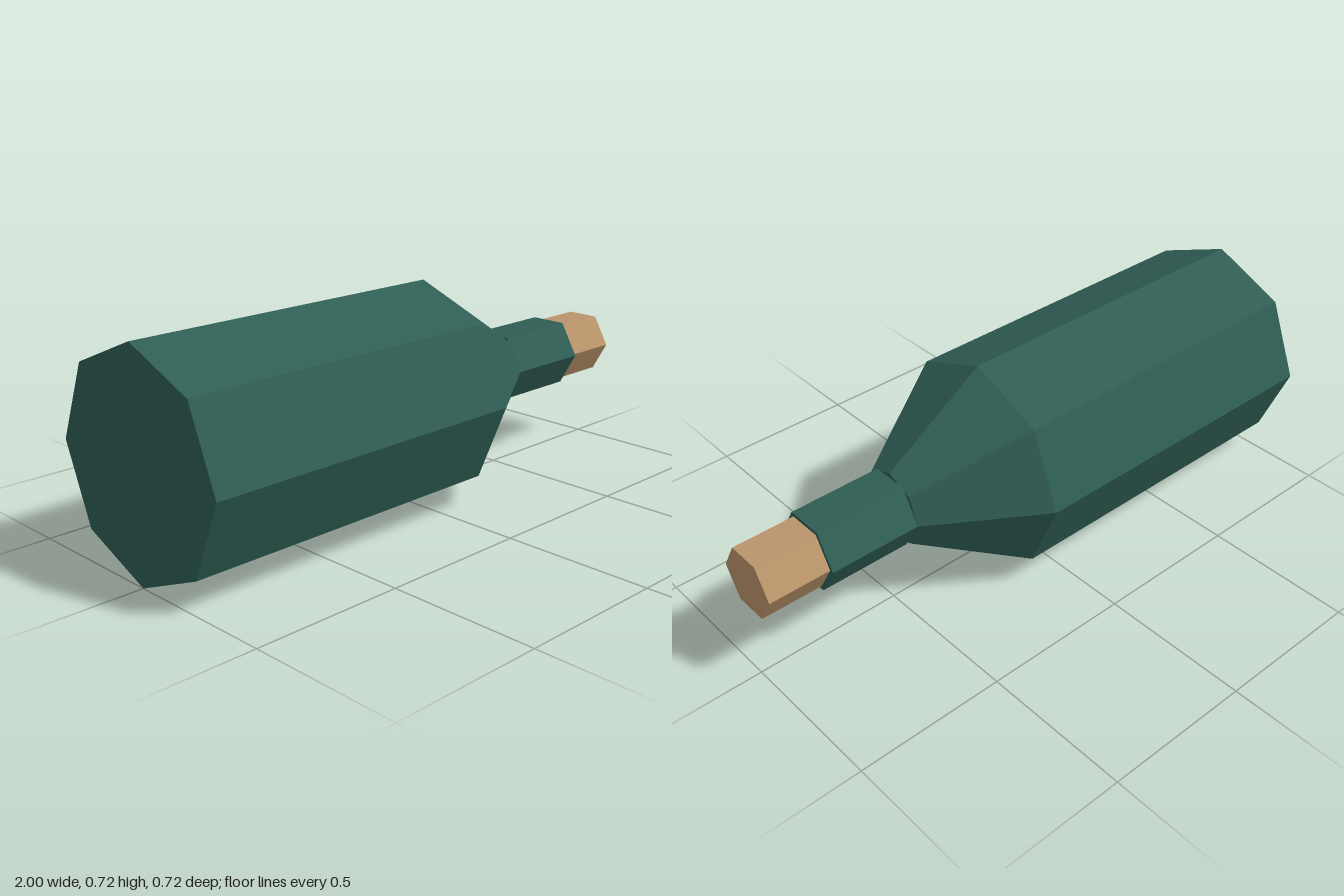
import * as THREE from 'three';

export function createModel() {
  const group = new THREE.Group();
  group.name = 'bottle';
  const glass = new THREE.MeshStandardMaterial({ color: 0x2f5d54, flatShading: true });
  glass.name = 'green glass';
  const corkTan = new THREE.MeshStandardMaterial({ color: 0xba946b, flatShading: true });
  corkTan.name = 'cork tan';

  const axisY = 0.359; // height of the bottle's axis, lying along x

  // Faceted section along x, from x0 (radius r0) to x1 (radius r1)
  function section(name, x0, x1, r0, r1, sides, material) {
    const geometry = new THREE.CylinderGeometry(r1, r0, x1 - x0, sides);
    geometry.rotateZ(-Math.PI / 2);
    const mesh = new THREE.Mesh(geometry, material);
    mesh.name = name;
    mesh.position.set((x0 + x1) / 2, axisY, 0);
    group.add(mesh);
  }

  section('body', -1, 0.13, 0.358, 0.358, 8, glass);
  section('shoulder', 0.13, 0.483, 0.358, 0.128, 8, glass);
  section('neck', 0.483, 0.793, 0.127, 0.127, 6, glass);
  section('cork', 0.793, 1, 0.113, 0.113, 6, corkTan);
  return group;
}
